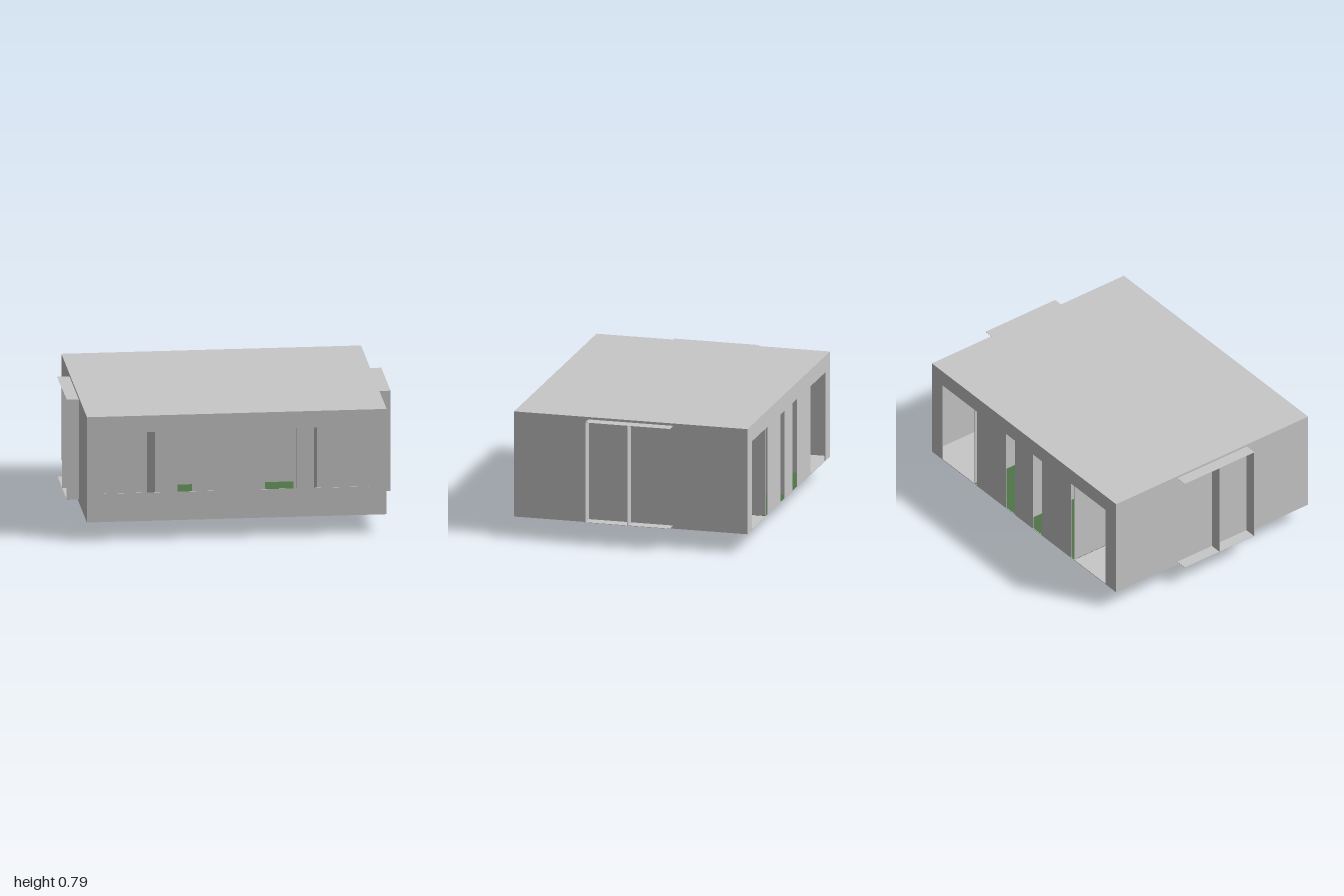
import * as THREE from 'three';

const wallGrey = new THREE.MeshStandardMaterial({ color: 0xc8c8c8 });
const floorGreen = new THREE.MeshStandardMaterial({ color: 0x4f7548 });
wallGrey.name = 'wallGrey';
floorGreen.name = 'floorGreen';

const T = 0.004; // panel thickness
const W = 0.925, D = 0.745, Y0 = 0.12, Y1 = 0.79;

// Box given by its min and max corners
function block(parent, name, material, x0, x1, y0, y1, z0, z1) {
  const mesh = new THREE.Mesh(new THREE.BoxGeometry(x1 - x0, y1 - y0, z1 - z0), material);
  mesh.position.set((x0 + x1) / 2, (y0 + y1) / 2, (z0 + z1) / 2);
  mesh.name = name;
  parent.add(mesh);
  return mesh;
}

// Upright panel in the x-y plane with rectangular openings [x0, x1, y0, y1]
function panel(parent, name, x0, x1, y0, y1, z, openings) {
  const rect = (path, [a, b, c, d]) =>
    path.moveTo(a, c).lineTo(b, c).lineTo(b, d).lineTo(a, d).closePath();
  const shape = new THREE.Shape();
  rect(shape, [x0, x1, y0, y1]);
  for (const o of openings) {
    const hole = new THREE.Path();
    rect(hole, o);
    shape.holes.push(hole);
  }
  const geometry = new THREE.ExtrudeGeometry(shape, { depth: T, bevelEnabled: false });
  const mesh = new THREE.Mesh(geometry, wallGrey);
  mesh.position.z = z;
  mesh.name = name;
  parent.add(mesh);
}

const mirrored = (list) => list.flatMap(([a, b, c, d]) => [[a, b, c, d], [-b, -a, c, d]]);

export function createModel() {
  const model = new THREE.Group();
  model.name = 'building';

  // Outer shell
  const shell = new THREE.Group();
  shell.name = 'shell';
  model.add(shell);
  block(shell, 'roof', wallGrey, -W, W, Y1 - T, Y1, -D, D);
  block(shell, 'base', wallGrey, -W, W, Y0, Y0 + T, -D, D);
  block(shell, 'leftWall', wallGrey, W - T, W, Y0, Y1, -D, D);
  block(shell, 'rightWall', wallGrey, -W, -W + T, Y0, Y1, -D, D);
  panel(shell, 'frontWall', -W, W, Y0, Y1, D - T,
    mirrored([[0.09, 0.367, 0.3, 0.685], [0.475, 0.82, 0.3, 0.685]]));
  panel(shell, 'backWall', -W, W, Y0, Y1, -D,
    mirrored([[0.09, 0.183, Y0 + T, 0.685], [0.473, 0.82, Y0 + T, 0.685]]));

  // Corridor slabs and walls, reaching out past both side walls
  const corridor = new THREE.Group();
  corridor.name = 'corridor';
  model.add(corridor);
  block(corridor, 'corridorFloor', wallGrey, -1, 1, 0.138, 0.14, -0.27, 0.27);
  block(corridor, 'corridorCeiling', wallGrey, -1, 1, 0.773, 0.775, -0.27, 0.27);
  panel(corridor, 'corridorFrontWall', -1, 1, 0.14, 0.775, 0.27 - T,
    mirrored([[0.225, 0.4, 0.145, 0.5]]));
  panel(corridor, 'corridorBackWall', -1, 1, 0.14, 0.775, -T / 2, []);

  // Room dividers
  for (const x of [-0.5, 0, 0.5]) {
    for (const [z0, z1] of [[-D + T, -T / 2], [0.27, D - T]]) {
      block(model, 'roomDivider', wallGrey, x - 0.004, x + 0.004, Y0 + T, Y1 - T, z0, z1);
    }
  }

  // Green floor of the middle rooms
  block(model, 'greenFloor', floorGreen, -0.505, 0.505, Y0 + T, Y0 + 0.006, -D + T, D - T);
  block(model, 'greenCorridorFloor', floorGreen, -0.505, 0.505, 0.14, 0.142, -0.27, 0.27);

  // Small hanging fitting under the base
  const fitting = new THREE.Group();
  fitting.name = 'hangingFitting';
  model.add(fitting);
  block(fitting, 'fittingBoard', floorGreen, -0.09, 0.09, 0.05, Y0, -0.003, 0.003);
  block(fitting, 'fittingPlate', wallGrey, -0.068, 0.068, 0.05, 0.1, 0.003, 0.006);
  block(fitting, 'fittingLedge', wallGrey, -0.065, 0.065, 0.1, Y0, 0.003, 0.026);
  block(fitting, 'fittingKnob', wallGrey, -0.014, 0.014, 0.112, Y0, 0.026, 0.038);
  block(fitting, 'fittingStem', wallGrey, -0.05, 0.05, 0.04, 0.052, -0.003, 0.003);
  block(fitting, 'fittingFoot', wallGrey, -0.055, 0.055, 0, 0.045, -0.01, 0.012);
  for (const s of [-1, 1]) {
    block(fitting, 'footPatch', floorGreen, s * 0.035 - 0.018, s * 0.035 + 0.018, 0.008, 0.038, 0.012, 0.014);
  }
  return model;
}
